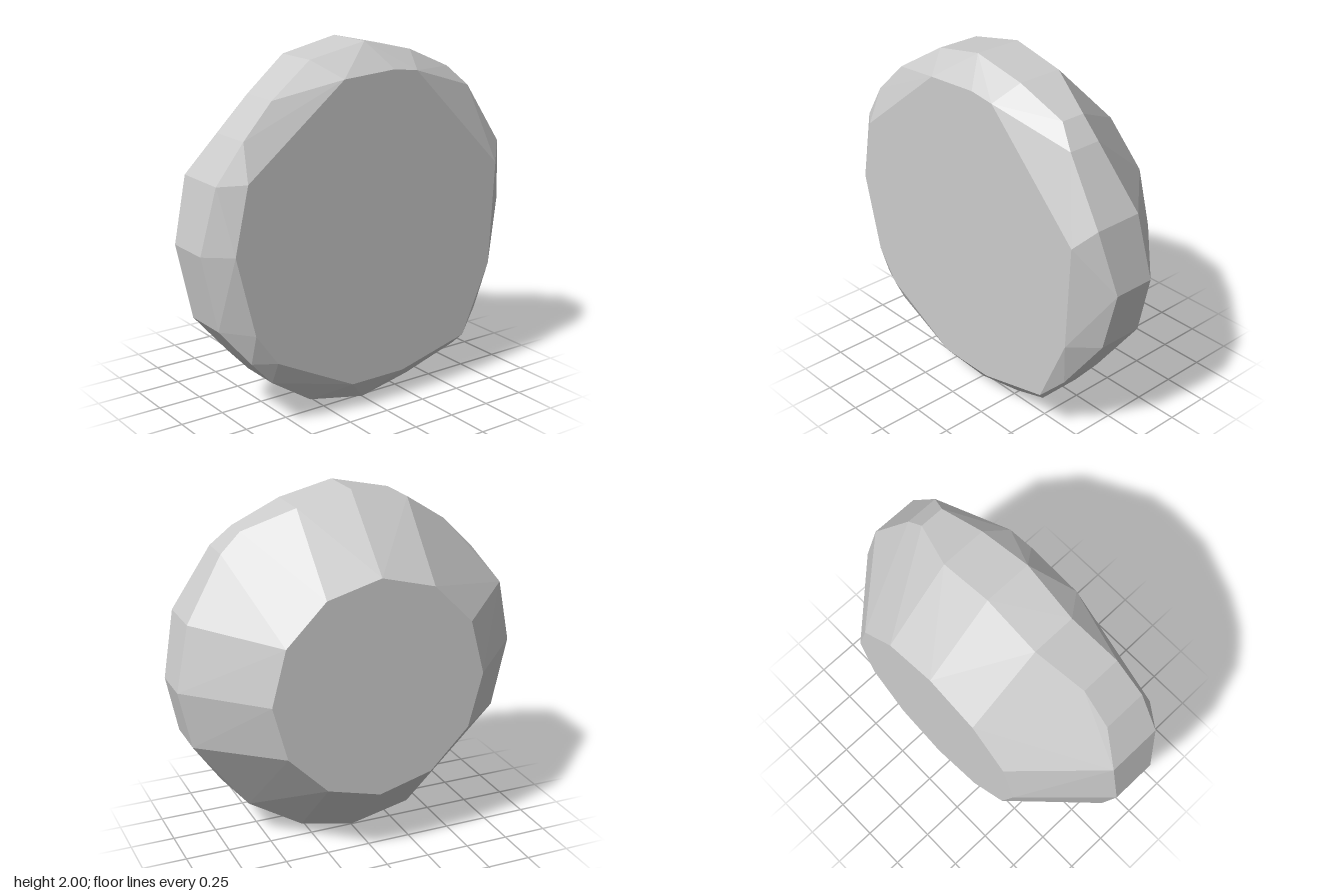
import * as THREE from 'three';
import { ConvexGeometry } from 'three/addons/geometries/ConvexGeometry.js';

// Rim outline: x, y, z of the rear edge, z of the front shoulder
const rim = [
  [0, 2, 0, 0.27], [0.31, 1.93, 0, 0.26], [0.59, 1.81, 0.1, 0.24], [0.7, 1.7, 0.1, 0.29],
  [0.92, 1.36, 0.03, 0.31], [1, 1, 0, 0.24], [0.93, 0.67, 0, 0.26], [0.75, 0.4, 0.1, 0.35],
  [0.59, 0.21, 0.1, 0.35], [0.31, 0.07, 0, 0.28], [0, 0, 0, 0.27], [-0.36, 0.08, 0, 0.28],
  [-0.64, 0.27, 0.1, 0.34], [-0.77, 0.41, 0.1, 0.35], [-0.92, 0.6, 0.02, 0.28], [-1, 1.01, 0, 0.26],
  [-0.93, 1.37, 0, 0.31], [-0.78, 1.58, 0.08, 0.33], [-0.6, 1.76, 0.08, 0.31], [-0.33, 1.93, 0, 0.25],
];

// Corners of the flat front face
const face = [
  [0.25, 1.84], [0.1, 1.86], [-0.22, 1.84], [-0.8, 1.38], [-0.88, 1.02], [-0.77, 0.58], [-0.64, 0.4],
  [-0.16, 0.16], [0.18, 0.16], [0.62, 0.27], [0.8, 0.67], [0.83, 1.26],
];

export function createModel() {
  const group = new THREE.Group();
  group.name = 'facetedStone';
  const points = [];

  // Wide girdle: rear edge and front shoulder
  for (const [x, y, back, front] of rim) {
    points.push(new THREE.Vector3(x, y, back), new THREE.Vector3(x, y, front));
  }
  // Flat front face
  for (const [x, y] of face) points.push(new THREE.Vector3(x, y, 0.4));
  // Smaller twelve-sided flat back
  for (let i = 0; i < 12; i++) {
    const a = (i / 12) * Math.PI * 2;
    points.push(new THREE.Vector3(0.615 * Math.cos(a), 1.005 + 0.62 * Math.sin(a), -0.4));
  }

  const stone = new THREE.Mesh(
    new ConvexGeometry(points),
    new THREE.MeshStandardMaterial({ color: 0xcccccc, flatShading: true })
  );
  stone.name = 'stone';
  group.add(stone);
  return group;
}
